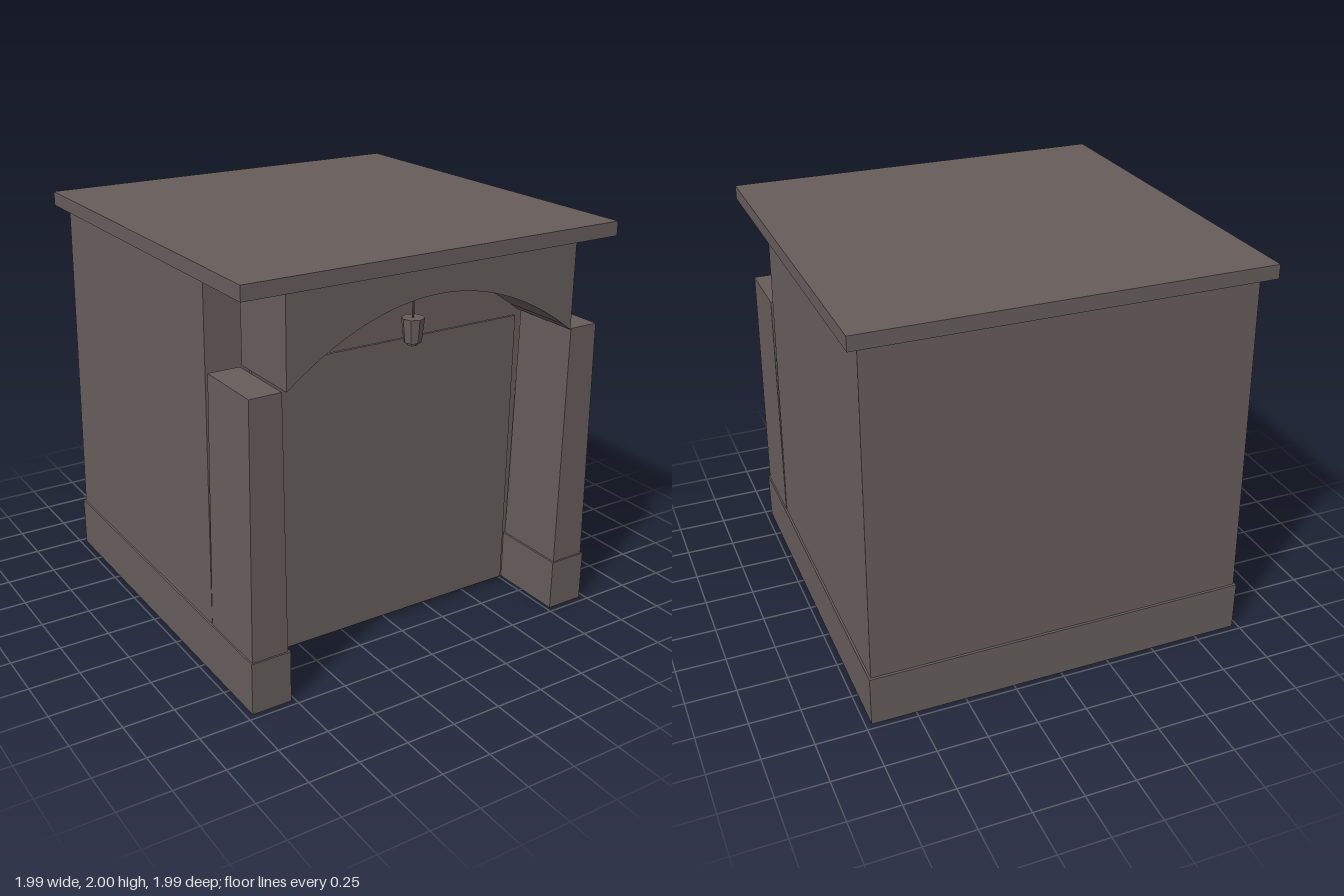
import * as THREE from 'three';

// Block whose top and bottom rectangles [x0, x1, z0, z1] may differ
function taperedBlock(y0, y1, bottom, top = bottom) {
  const g = new THREE.BoxGeometry(1, 1, 1);
  const p = g.attributes.position;
  for (let i = 0; i < p.count; i++) {
    const up = p.getY(i) > 0;
    const r = up ? top : bottom;
    p.setXYZ(i, p.getX(i) > 0 ? r[1] : r[0], up ? y1 : y0, p.getZ(i) > 0 ? r[3] : r[2]);
  }
  g.computeVertexNormals();
  return g;
}

export function createModel() {
  const model = new THREE.Group();
  const stone = new THREE.MeshStandardMaterial({ color: 0x665d5b });
  stone.name = 'greyBrownStone';

  const add = (name, geometry, parent = model) => {
    const mesh = new THREE.Mesh(geometry, stone);
    mesh.name = name;
    parent.add(mesh);
    return mesh;
  };

  // Plinth: U-shaped footprint with two legs reaching forward
  const foot = new THREE.Shape([
    [-0.97, 0.97], [-0.97, -0.97], [-0.77, -0.97], [-0.77, -0.58],
    [0.77, -0.58], [0.77, -0.97], [0.97, -0.97], [0.97, 0.97],
  ].map(([x, y]) => new THREE.Vector2(x, y)));
  const plinth = new THREE.ExtrudeGeometry(foot, { depth: 0.26, bevelEnabled: false });
  plinth.rotateX(-Math.PI / 2);
  add('plinth', plinth);

  // Main walls lean slightly inward
  add('body', taperedBlock(0.26, 1.93,
    [-0.96, 0.96, -0.957, 0.575], [-0.938, 0.938, -0.937, 0.555]));

  // Flat roof slab
  add('roof', taperedBlock(1.93, 2, [-0.995, 0.995, -0.995, 0.995]));

  // Front door plate between the pillars
  add('door', taperedBlock(0.02, 1.48, [-0.742, 0.742, 0.59, 0.605]));

  // Front pillars
  for (const side of [-1, 1]) {
    const rect = (inner, outer, z0, z1) =>
      side > 0 ? [inner, outer, z0, z1] : [-outer, -inner, z0, z1];
    add(side > 0 ? 'leftPillar' : 'rightPillar',
      taperedBlock(0.26, 1.5, rect(0.78, 0.962, 0.58, 0.962), rect(0.79, 0.947, 0.59, 0.953)));
  }

  // Arched beam over the entrance
  const arch = new THREE.Shape();
  arch.moveTo(-0.775, 1.93);
  arch.lineTo(-0.775, 1.5);
  arch.quadraticCurveTo(0, 2.1, 0.775, 1.5);
  arch.lineTo(0.775, 1.93);
  const beam = new THREE.ExtrudeGeometry(arch, { depth: 0.385, bevelEnabled: false, curveSegments: 32 });
  beam.translate(0, 0, 0.58);
  add('archBeam', beam);

  // Hanging lantern
  const lantern = new THREE.Group();
  lantern.name = 'lantern';
  lantern.position.z = 0.77;
  model.add(lantern);
  const drum = (name, rTop, rBottom, y0, y1) =>
    add(name, new THREE.CylinderGeometry(rTop, rBottom, y1 - y0, 8).toNonIndexed()
      .translate(0, (y0 + y1) / 2, 0), lantern).geometry.computeVertexNormals();
  drum('lanternRod', 0.005, 0.005, 1.64, 1.81);
  drum('lanternShade', 0.054, 0.042, 1.525, 1.64);
  drum('lanternBase', 0.027, 0.024, 1.51, 1.525);

  return model;
}
